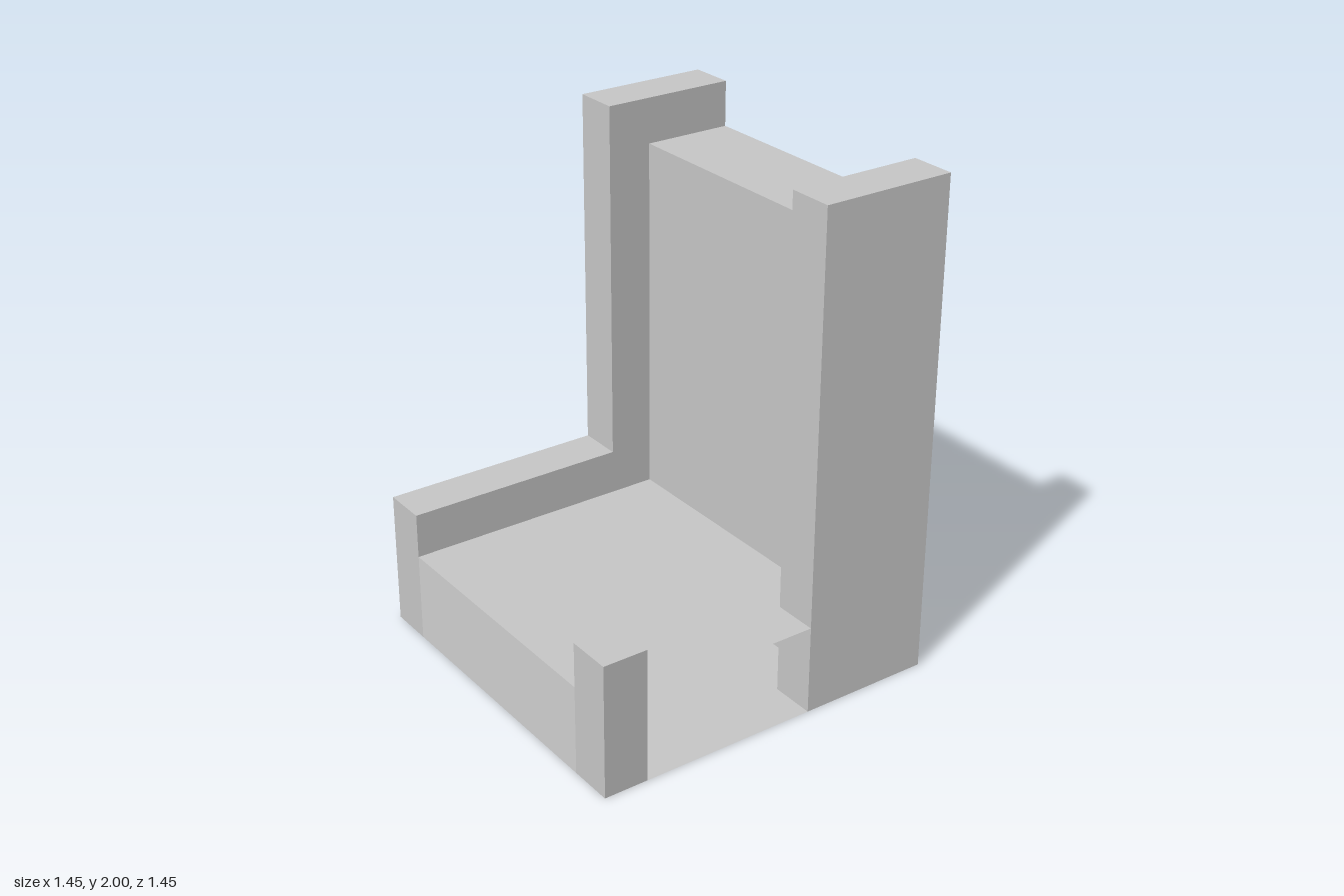
import * as THREE from 'three';

const U = 2 / 11; // the chair sits on an 8 x 11 x 8 unit lattice

export function createModel() {
  const model = new THREE.Group();
  model.name = 'armchair';

  function paint(name, color) {
    const material = new THREE.MeshStandardMaterial({ color, side: THREE.DoubleSide });
    material.name = name;
    return material;
  }
  const grey = paint('grey', 0xc8c8c8);
  const paleGrey = paint('paleGrey', 0xd2d2d2);

  function add(name, geometry, material = grey) {
    const mesh = new THREE.Mesh(geometry, material);
    mesh.name = name;
    model.add(mesh);
    return mesh;
  }

  // Box given by its lattice limits; face order is +x, -x, +y, -y, +z, -z
  function block(name, x0, x1, y0, y1, z0, z1, material) {
    add(name, new THREE.BoxGeometry((x1 - x0) * U, (y1 - y0) * U, (z1 - z0) * U), material)
      .position.set((x0 + x1) / 2 * U, (y0 + y1) / 2 * U, (z0 + z1) / 2 * U);
  }

  // Horizontal sheet facing up (1) or down (-1)
  function sheet(name, x0, x1, y, z0, z1, facing) {
    const g = new THREE.PlaneGeometry((x1 - x0) * U, (z1 - z0) * U).rotateX(-facing * Math.PI / 2);
    add(name, g).position.set((x0 + x1) / 2 * U, y * U, (z0 + z1) / 2 * U);
  }

  // Right side: one L-shaped slab forming the arm and the rear post
  const side = new THREE.Shape([[-4, 0], [4, 0], [4, 11], [1, 11], [1, 3], [-4, 3]]
    .map(([a, b]) => new THREE.Vector2(a * U, b * U)));
  const slab = new THREE.ExtrudeGeometry(side, { depth: U, bevelEnabled: false });
  slab.rotateY(Math.PI / 2); // shape x runs towards the back
  add('rightSide', slab).position.x = -4 * U;

  // Left side: rear post and short front post with an opening between
  block('leftRearPost', 3, 4, 0, 11, -4, -1, [paleGrey, grey, grey, grey, grey, grey]);
  block('leftFrontPost', 3, 4, 0, 3, 3, 4);

  // Backrest with a paler rear face
  block('backrest', -3, 3, 0, 10, -4, -2, [grey, grey, grey, grey, grey, paleGrey]);

  // Hollow seat, open on the left
  sheet('seatTop', -3, 4, 2, -2, 4, 1);
  sheet('seatFloor', -3, 4, 0, -2, 4, -1);
  add('seatFront', new THREE.PlaneGeometry(6 * U, 2 * U), paleGrey).position.set(0, U, 4 * U);

  return model;
}
